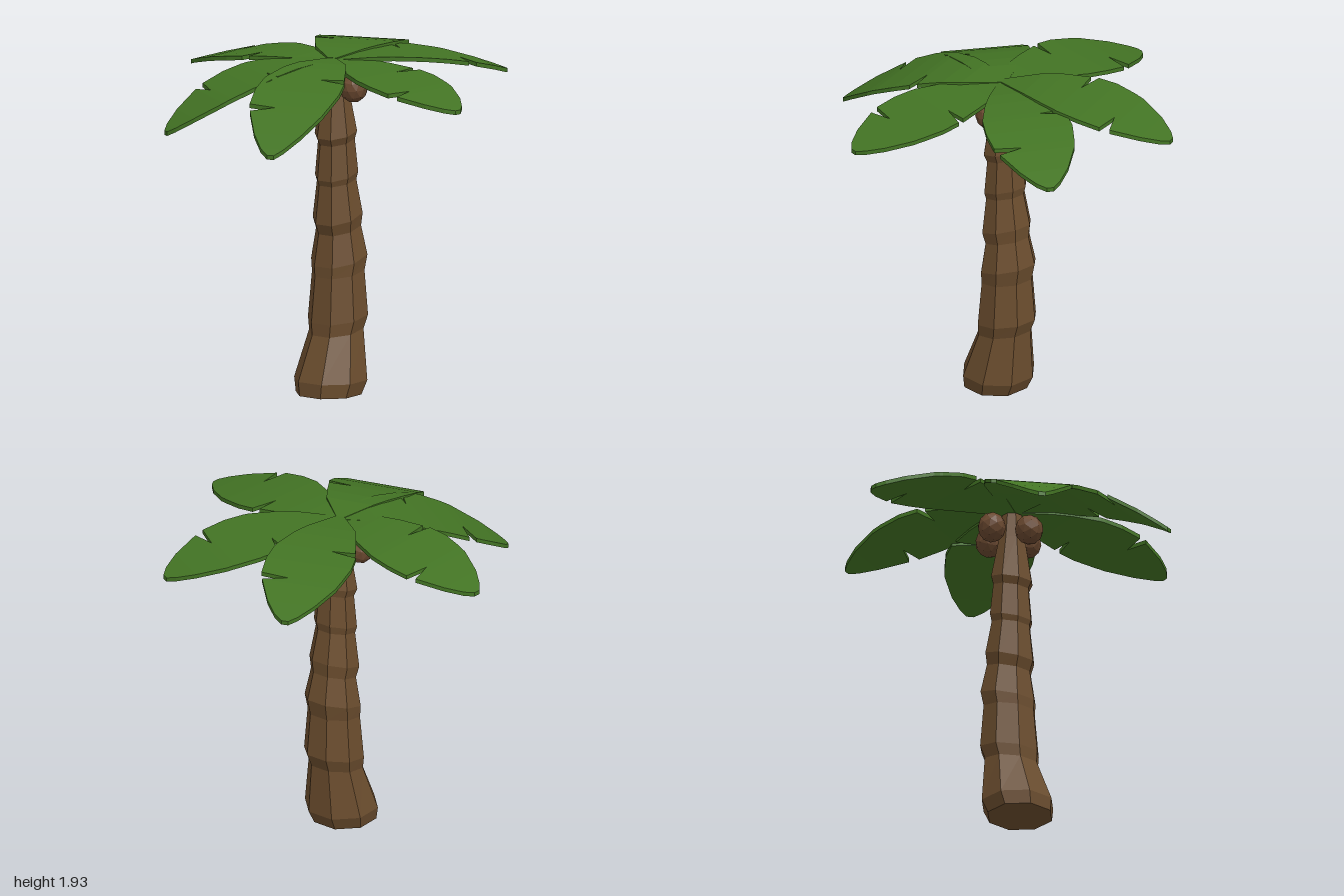
import * as THREE from 'three';

// Flat-faced skin through equal-sized loops (counter-clockwise about the forward direction), capped at both ends
function loft(loops) {
  const pos = [];
  const tri = (a, b, c) => pos.push(...a, ...b, ...c);
  const n = loops[0].length;
  for (let i = 0; i < loops.length - 1; i++) {
    for (let j = 0; j < n; j++) {
      const k = (j + 1) % n;
      const [a, b, c, d] = [loops[i][j], loops[i][k], loops[i + 1][k], loops[i + 1][j]];
      tri(a, b, c);
      tri(a, c, d);
    }
  }
  const first = loops[0], last = loops[loops.length - 1];
  for (let j = 1; j < n - 1; j++) {
    tri(first[0], first[j + 1], first[j]);
    tri(last[0], last[j], last[j + 1]);
  }
  const geo = new THREE.BufferGeometry();
  geo.setAttribute('position', new THREE.Float32BufferAttribute(pos, 3));
  geo.computeVertexNormals();
  return geo;
}

// Trunk rings: height, z centre, half width, forward tilt
const TRUNK = [
  [0, 0.045, 0.175, 0], [0.08, 0.025, 0.195, 0],
  [0.355, -0.027, 0.145, 0.025], [0.43, -0.043, 0.16, 0.03],
  [0.685, -0.045, 0.14, 0.025], [0.765, -0.055, 0.15, 0.045],
  [0.935, -0.048, 0.12, 0.035], [1.005, -0.04, 0.133, 0.045],
  [1.205, -0.03, 0.105, 0.025], [1.245, -0.03, 0.115, 0.035],
  [1.435, -0.028, 0.098, 0.025], [1.48, -0.023, 0.113, 0.03],
  [1.72, -0.02, 0.073, 0], [1.87, -0.02, 0.055, 0],
];

function trunkGeometry() {
  return loft(TRUNK.map(([y, cz, half, tilt]) => {
    const r = half / Math.cos(Math.PI / 8);
    return Array.from({ length: 8 }, (_, i) => {
      const a = ((i + 0.5) * Math.PI) / 4;
      return [0.01 + r * Math.sin(a), y - tilt * Math.cos(a), cz + r * Math.cos(a)];
    });
  }));
}

// Leaf outline: distance along the rib, left edge, right edge (one torn notch on each side)
const LEAF = [
  [0, 0.025, 0.025], [0.18, 0.15, 0.13], [0.28, 0.185, 0.18], [0.415, 0.225, 0.23],
  [0.425, 0.085, 0.235], [0.455, 0.24, 0.24], [0.56, 0.248, 0.25], [0.685, 0.225, 0.238],
  [0.7, 0.22, 0.08], [0.735, 0.212, 0.218], [0.88, 0.135, 0.14], [0.965, 0.065, 0.07],
  [1, 0.02, 0.02],
];

// Leaf arching from the crown to the tip (x, z): height = y0 + rise t - droop t^2
function leafGeometry(x, z, y0, rise, droop) {
  const len = Math.hypot(x, z), rx = -z / len, rz = x / len, thick = 0.024;
  return loft(LEAF.map(([t, left, right]) => {
    const y = y0 + rise * t - droop * t * t;
    const p = (v, h) => [x * t + rx * v, h, z * t + rz * v];
    return [p(right, y - thick), p(-left, y - thick), p(-left, y), p(right, y)];
  }));
}

export function createModel() {
  const bark = new THREE.MeshStandardMaterial({ color: 0x6b4d2e });
  bark.name = 'bark brown';
  const green = new THREE.MeshStandardMaterial({ color: 0x437424 });
  green.name = 'leaf green';
  const shell = new THREE.MeshStandardMaterial({ color: 0x6b4930 });
  shell.name = 'coconut brown';

  const model = new THREE.Group();
  model.name = 'palmTree';
  const add = (name, geo, mat) => {
    const mesh = new THREE.Mesh(geo, mat);
    mesh.name = name;
    model.add(mesh);
    return mesh;
  };

  add('trunk', trunkGeometry(), bark);

  // Crown of six leaves
  const leaves = {
    leafBackRight: [-0.37, -0.99, 1.904, 0.17, 0.3],
    leafBackLeft: [0.51, -0.945, 1.896, 0.15, 0.29],
    leafLeft: [0.995, 0.155, 1.9, 0, 0.15],
    leafFrontLeft: [0.3, 0.98, 1.902, 0.12, 0.48],
    leafFrontRight: [-0.53, 0.845, 1.898, 0.12, 0.46],
    leafRight: [-1, -0.045, 1.894, 0.1, 0.225],
  };
  for (const [name, args] of Object.entries(leaves)) add(name, leafGeometry(...args), green);

  // Coconuts around the top of the trunk
  const nuts = [[0, 1.735, 0.135], [-0.15, 1.755, -0.01], [0.13, 1.745, -0.03], [-0.01, 1.765, -0.19]];
  nuts.forEach(([x, y, z], i) => {
    const geo = new THREE.IcosahedronGeometry(0.08, 1);
    geo.rotateX(i * 0.9).rotateZ(i * 0.5).scale(1, 1.08, 1);
    geo.computeVertexNormals();
    add('coconut' + (i + 1), geo, shell).position.set(x, y, z);
  });

  return model;
}
